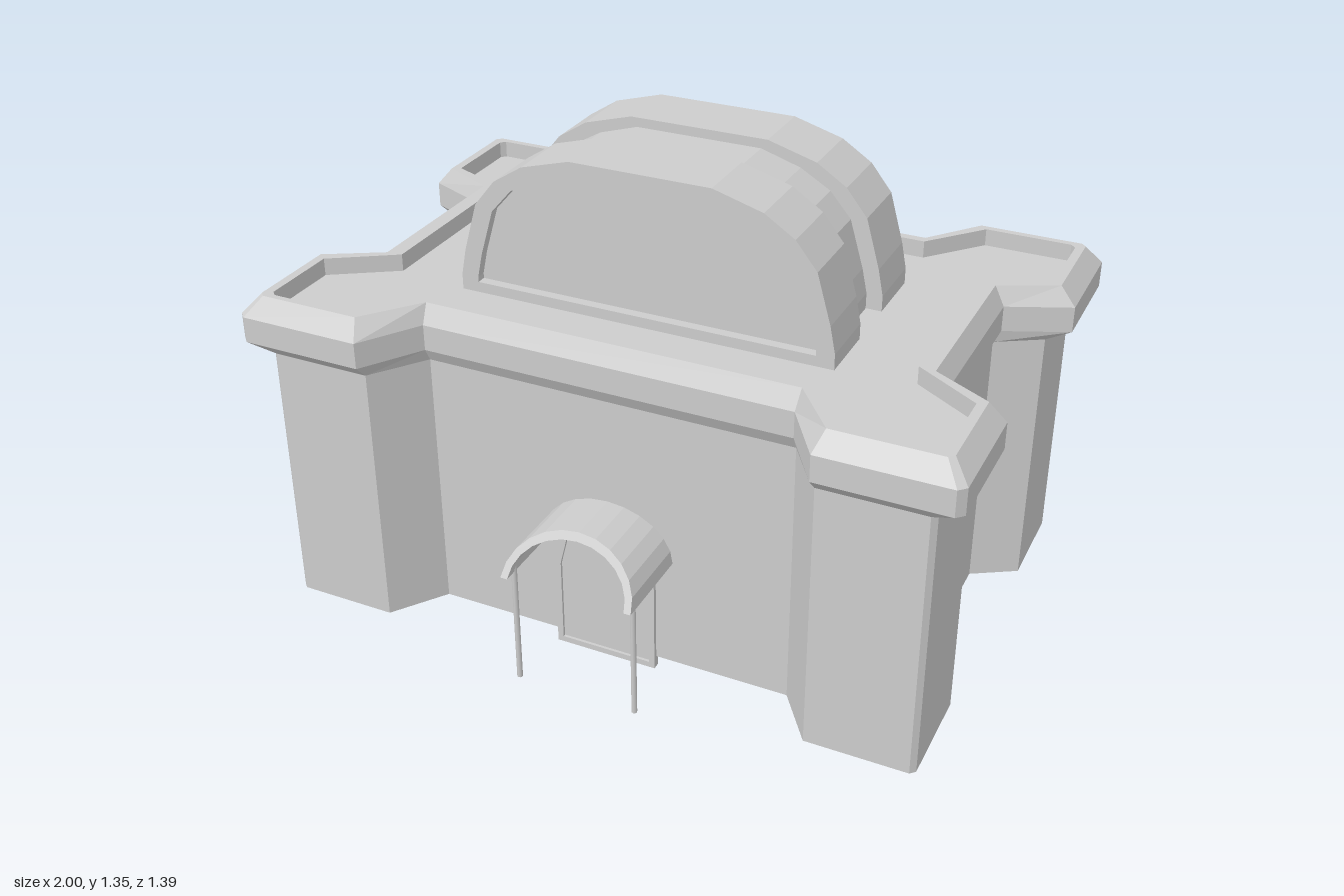
import * as THREE from 'three';

const grey = new THREE.MeshStandardMaterial({ color: 0xcccccc });
grey.name = 'stone grey';

function add(group, name, geometry, x = 0, y = 0, z = 0) {
  const mesh = new THREE.Mesh(geometry, grey);
  mesh.name = name;
  mesh.position.set(x, y, z);
  group.add(mesh);
  return mesh;
}

// Floor plan with four corner towers: c = corner, w = recessed wall,
// f / b / x = front, back and side distance, the rest are the diagonal ends.
function plan({ cx, cf, cb, wx, wf, wb, ax = 0.63, bx = 0.525, f1 = 0.295, f0 = 0.225, b1 = 0.365, b0 = 0.29, c = 0.014 }) {
  const half = [
    [bx, wf], [ax, cf], [cx - c, cf], [cx, cf - c], [cx, f1], [wx, f0],
    [wx, -b0], [cx, -b1], [cx, -cb + c], [cx - c, -cb], [ax, -cb], [bx, -wb],
  ];
  return half.concat(half.map(([x, z]) => [-x, z]).reverse());
}

// Joins plan loops from bottom to top, with optional caps.
function loft(levels, capBottom, capTop) {
  const pos = [];
  const put = ([x, z], y) => pos.push(x, y, z);
  for (let k = 0; k + 1 < levels.length; k++) {
    const [lo, y0] = levels[k], [hi, y1] = levels[k + 1];
    for (let i = 0; i < lo.length; i++) {
      const j = (i + 1) % lo.length;
      put(lo[i], y0); put(lo[j], y0); put(hi[j], y1);
      put(lo[i], y0); put(hi[j], y1); put(hi[i], y1);
    }
  }
  const cap = ([loop, y], up) => {
    const pts = loop.map(([x, z]) => new THREE.Vector2(x, -z));
    for (const [a, b, c] of THREE.ShapeUtils.triangulateShape(pts, [])) {
      for (const i of up ? [a, b, c] : [a, c, b]) put(loop[i], y);
    }
  };
  if (capBottom) cap(levels[0], false);
  if (capTop) cap(levels[levels.length - 1], true);
  const g = new THREE.BufferGeometry();
  g.setAttribute('position', new THREE.Float32BufferAttribute(pos, 3));
  g.computeVertexNormals();
  return g;
}

const toPoints = (list) => list.map(([x, y]) => new THREE.Vector2(x, y));

// Extrudes an outline, with an optional hole, between two depths.
function slab(outline, hole, zBack, zFront) {
  const shape = new THREE.Shape(toPoints(outline));
  if (hole) shape.holes.push(new THREE.Path(toPoints(hole)));
  const g = new THREE.ExtrudeGeometry(shape, { depth: zFront - zBack, bevelEnabled: false });
  return g.translate(0, 0, zBack);
}

// Faceted arch outline of the roof vault, shrunk by an inset.
function vaultOutline(inset, base) {
  const half = [[0.54, 0.97], [0.525, 1.045], [0.485, 1.185], [0.425, 1.26], [0.34, 1.315], [0.2, 1.355]];
  const right = half.map(([x, y], i) => [x - inset * (i === 5 ? 0.4 : 1), y - inset * (i / 5) * 0.6]);
  right.unshift([right[0][0], base]);
  return right.concat(right.map(([x, y]) => [-x, y]).reverse());
}

export function createModel() {
  const model = new THREE.Group();
  model.name = 'fortHall';

  // Walls, cornice and sunken roof
  const wall = plan({ cx: 0.93, cf: 0.593, cb: 0.655, wx: 0.805, wf: 0.445, wb: 0.515 });
  const bulge = plan({ cx: 1, cf: 0.63, cb: 0.697, wx: 0.825, wf: 0.465, wb: 0.535, c: 0.02 });
  const crest = plan({
    cx: 0.955, cf: 0.587, cb: 0.66, wx: 0.795, wf: 0.435, wb: 0.51,
    ax: 0.65, bx: 0.53, f1: 0.31, f0: 0.22, b1: 0.375, b0: 0.3,
  });
  const inner = plan({
    cx: 0.93, cf: 0.57, cb: 0.64, wx: 0.75, wf: 0.41, wb: 0.485,
    ax: 0.67, bx: 0.535, f1: 0.33, f0: 0.215, b1: 0.39, b0: 0.315,
  });
  add(model, 'walls', loft([[wall, 0.037], [wall, 0.81]], true, false));
  add(model, 'cornice', loft([[wall, 0.81], [bulge, 0.848], [bulge, 0.922], [crest, 0.975], [inner, 0.975]], false, false));
  add(model, 'roofDeck', loft([[inner, 0.975], [inner, 0.925]], false, true));

  // Roof vault: two wide ribs, a narrower middle and a recessed front panel
  const vault = new THREE.Group();
  vault.name = 'roofVault';
  model.add(vault);
  const wide = vaultOutline(0, 0.92);
  add(vault, 'backRib', slab(wide, null, -0.308, -0.118));
  add(vault, 'middleVault', slab(vaultOutline(0.045, 0.92), null, -0.12, 0.055));
  add(vault, 'frontRib', slab(wide, null, 0.053, 0.21));
  add(vault, 'frontRim', slab(wide, vaultOutline(0.05, 0.955), 0.21, 0.238));

  // Arched canopy whose front edge slopes back toward the top
  const canopy = new THREE.Group();
  canopy.name = 'entranceCanopy';
  model.add(canopy);
  const arc = (rx, ry, flip) => Array.from({ length: 13 }, (_, i) => {
    const a = (Math.PI * (flip ? 12 - i : i)) / 12;
    return [rx * Math.cos(a), 0.362 + ry * Math.sin(a)];
  });
  const hood = slab(arc(0.19, 0.143).concat(arc(0.17, 0.122, true)), null, 0.42, 0.69);
  const p = hood.attributes.position;
  for (let i = 0; i < p.count; i++) {
    if (p.getZ(i) > 0.6) p.setZ(i, 0.692 - 0.62 * (p.getY(i) - 0.362));
  }
  hood.computeVertexNormals();
  add(canopy, 'hood', hood);
  for (const side of [-1, 1]) {
    add(canopy, 'canopyPost', new THREE.CylinderGeometry(0.008, 0.008, 0.385, 8), side * 0.174, 0.2025, 0.648);
  }

  // Door with a raised frame
  const door = (s, bottom) => [
    [0.15 - s, bottom], [0.15 - s, 0.27], [0.122 - s, 0.395 - s * 0.7], [0, 0.437 - s],
    [-0.122 + s, 0.395 - s * 0.7], [-0.15 + s, 0.27], [-0.15 + s, bottom],
  ];
  add(model, 'doorFrame', slab(door(0, 0.003), door(0.017, 0.02), 0.435, 0.457), -0.01);
  add(model, 'doorPanel', slab(door(0.015, 0.018), null, 0.44, 0.449), -0.01);
  return model;
}
